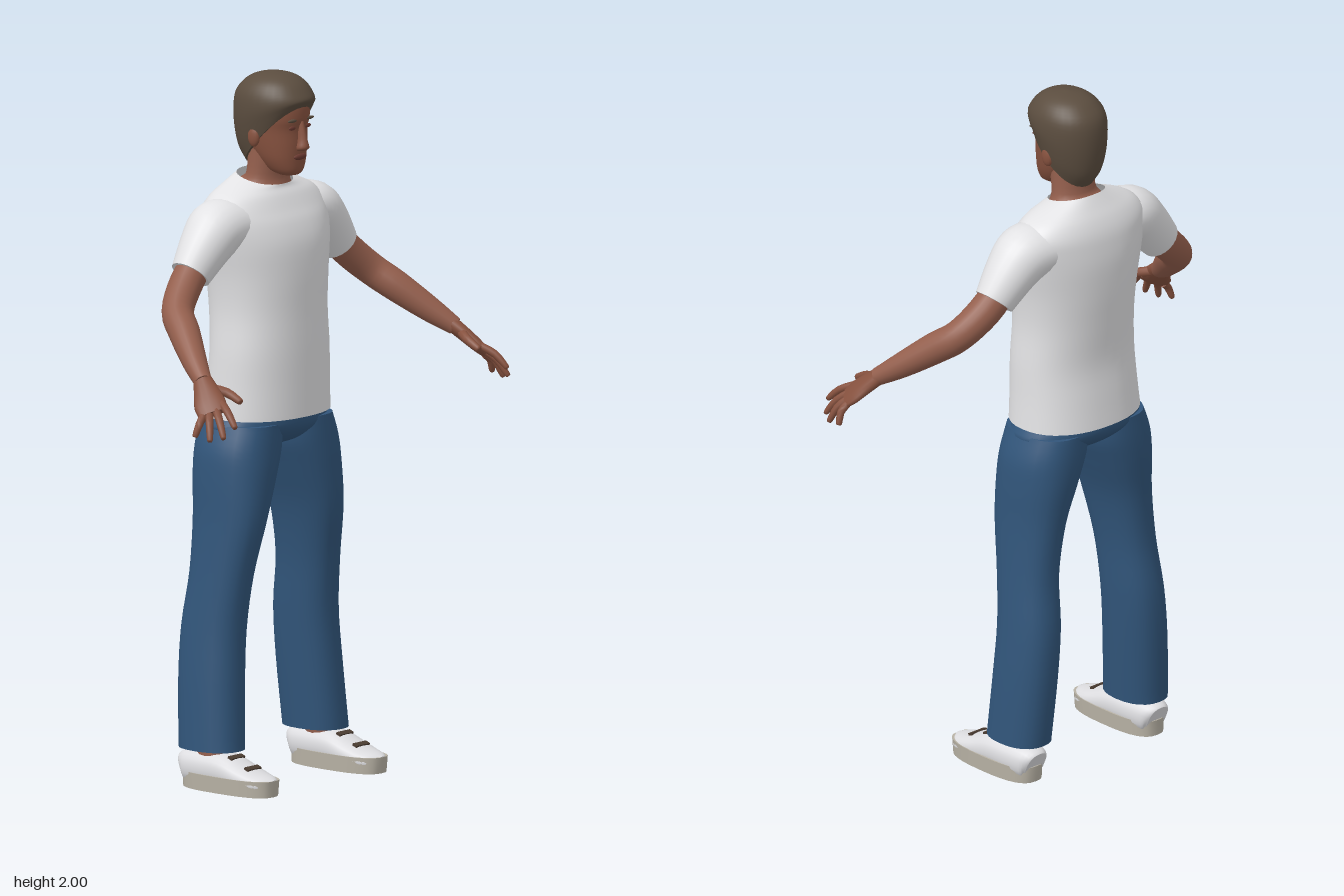
import * as THREE from 'three';

const V = (x, y, z) => new THREE.Vector3(x, y, z);

// Catmull-Rom interpolation of cross-section rows
function smooth(rows, n) {
  const out = [];
  for (let i = 0; i < rows.length - 1; i++) {
    const a = rows[Math.max(i - 1, 0)], b = rows[i], c = rows[i + 1], d = rows[Math.min(i + 2, rows.length - 1)];
    for (let k = 0; k < n; k++) {
      const t = k / n;
      out.push(b.map((v, m) => {
        const k1 = c[m] - a[m];
        const k2 = 2 * a[m] - 5 * v + 4 * c[m] - d[m];
        const k3 = 3 * (v - c[m]) + d[m] - a[m];
        return v + 0.5 * t * (k1 + t * (k2 + t * k3));
      }));
    }
  }
  out.push(rows[rows.length - 1]);
  return out;
}

// Closed skin over a list of rings, with flat end caps
function skin(rings, caps = true) {
  const n = rings[0].length, pos = [], idx = [];
  rings.forEach(r => r.forEach(p => pos.push(p.x, p.y, p.z)));
  for (let i = 0; i < rings.length - 1; i++) {
    for (let j = 0; j < n; j++) {
      const k = (j + 1) % n, a = i * n + j, b = i * n + k, c = a + n, d = b + n;
      idx.push(a, c, b, b, c, d);
    }
  }
  if (caps) {
    [rings[0], rings[rings.length - 1]].forEach((r, end) => {
      const s = pos.length / 3, m = V(0, 0, 0);
      r.forEach(p => { pos.push(p.x, p.y, p.z); m.addScaledVector(p, 1 / n); });
      pos.push(m.x, m.y, m.z);
      for (let j = 0; j < n; j++) {
        const k = (j + 1) % n;
        idx.push(s + n, s + (end ? k : j), s + (end ? j : k));
      }
    });
  }
  const g = new THREE.BufferGeometry();
  g.setAttribute('position', new THREE.Float32BufferAttribute(pos, 3));
  g.setIndex(idx);
  g.computeVertexNormals();
  return g;
}

const bend = (v, p) => Math.sign(v) * Math.abs(v) ** (2 / p);

// Upright form; rows are [y, centre x, half width, front z, back z, tilt]
function column(rows, { p = 2, seg = 28, sub = 4, caps = true } = {}) {
  return skin(smooth(rows, sub).map(([y, cx, rx, zf, zb, tilt]) => Array.from({ length: seg }, (_, j) => {
    const t = j / seg * Math.PI * 2, c = bend(Math.cos(t), p), s = bend(Math.sin(t), p);
    return V(cx + rx * c, y + tilt * s, (zf + zb) / 2 + (zf - zb) / 2 * s);
  })), caps);
}

// Form along a path; rows are [x, y, z, radius along ref, other radius]
function limb(rows, ref, { p = 2, seg = 16, sub = 4 } = {}) {
  const r = smooth(rows, sub), at = i => V(r[i][0], r[i][1], r[i][2]);
  return skin(r.map((row, i) => {
    const T = at(Math.min(i + 1, r.length - 1)).sub(at(Math.max(i - 1, 0))).normalize();
    const U = ref.clone().addScaledVector(T, -ref.dot(T)).normalize(), W = U.clone().cross(T);
    return Array.from({ length: seg }, (_, j) => {
      const t = j / seg * Math.PI * 2;
      return at(i).addScaledVector(U, row[3] * bend(Math.cos(t), p)).addScaledVector(W, row[4] * bend(Math.sin(t), p));
    });
  }));
}

function mirrored(geo) {
  const g = geo.clone().applyMatrix4(new THREE.Matrix4().makeScale(-1, 1, 1)), a = g.index.array;
  for (let i = 0; i < a.length; i += 3) [a[i + 1], a[i + 2]] = [a[i + 2], a[i + 1]];
  return g;
}

export function createModel() {
  const model = new THREE.Group();
  model.name = 'standingMan';
  const mat = (name, color) => Object.assign(new THREE.MeshStandardMaterial({ color }), { name });
  const skinMat = mat('skin', 0x945f4d), faceMat = mat('deepSkin', 0x87523f), lipMat = mat('lips', 0x6b3a31);
  const hairMat = mat('hair', 0x5b4d3f), shirtMat = mat('shirt', 0xe2e2e4), jeansMat = mat('denim', 0x31557a);
  const shoeMat = mat('shoeWhite', 0xdddde0), soleMat = mat('sole', 0xb8b2a5), laceMat = mat('lace', 0x4c3d32);
  shirtMat.side = THREE.DoubleSide;

  const add = (name, geo, m) => {
    const mesh = new THREE.Mesh(geo, m);
    mesh.name = name;
    model.add(mesh);
  };
  const pair = (name, geo, m) => {
    add('left' + name, geo, m);
    add('right' + name, mirrored(geo), m);
  };
  const ball = (x, y, z, a, b, c) => new THREE.SphereGeometry(1, 16, 10).scale(a, b, c).translate(x, y, z);

  // Shirt
  add('shirtBody', column([
    [1.035, 0, 0.198, 0.03, -0.265, 0], [1.12, 0, 0.192, 0.03, -0.255, 0], [1.22, 0, 0.188, 0.03, -0.245, 0],
    [1.33, 0, 0.181, 0.028, -0.252, 0], [1.43, 0, 0.188, 0.028, -0.26, 0], [1.52, 0, 0.204, 0.022, -0.263, 0],
    [1.58, 0, 0.215, 0.004, -0.258, 0], [1.62, 0, 0.214, -0.018, -0.25, 0], [1.655, 0, 0.185, -0.038, -0.235, 0],
    [1.68, 0, 0.135, -0.052, -0.215, -0.006], [1.7, 0, 0.083, -0.055, -0.195, -0.016],
  ], { p: 2.25, seg: 40, caps: false }), shirtMat);
  pair('Sleeve', limb([
    [0.14, 1.585, -0.13, 0.095, 0.07], [0.2, 1.575, -0.128, 0.088, 0.08],
    [0.252, 1.532, -0.127, 0.075, 0.072], [0.313, 1.463, -0.127, 0.056, 0.059],
  ], V(0, 0, 1), { seg: 24 }), shirtMat);

  // Jeans
  add('jeansHips', column([
    [0.945, 0, 0.06, -0.08, -0.17, 0], [0.965, 0, 0.13, -0.03, -0.21, 0], [1, 0, 0.205, 0.002, -0.245, 0],
    [1.04, 0, 0.193, 0.005, -0.248, 0], [1.09, 0, 0.175, 0.005, -0.24, 0],
  ], { p: 2.3, seg: 32 }), jeansMat);
  pair('JeansLeg', column([
    [0.11, 0.22, 0.074, -0.03, -0.228, 0], [0.3, 0.207, 0.075, -0.042, -0.24, 0],
    [0.45, 0.195, 0.073, -0.045, -0.24, 0], [0.6, 0.183, 0.07, -0.028, -0.222, 0],
    [0.75, 0.163, 0.078, 0, -0.225, 0], [0.87, 0.139, 0.098, 0.006, -0.238, 0],
    [0.95, 0.12, 0.109, 0.004, -0.242, 0], [1.02, 0.105, 0.098, 0, -0.24, 0],
  ], { p: 2.3, seg: 24 }), jeansMat);

  // Ankles and shoes
  pair('Ankle', column([
    [0.06, 0.23, 0.042, -0.055, -0.165, 0], [0.16, 0.225, 0.045, -0.06, -0.17, 0],
  ], { seg: 16, sub: 1 }), skinMat);
  pair('ShoeSole', column([
    [0, 0.23, 0.062, 0.106, -0.208, 0], [0.046, 0.23, 0.064, 0.11, -0.21, 0],
  ], { p: 2.7, seg: 32, sub: 1 }), soleMat);
  pair('ShoeUpper', limb([
    [0.23, 0.035, -0.207, 0.035, 0.058], [0.23, 0.035, -0.19, 0.05, 0.068], [0.23, 0.035, -0.13, 0.058, 0.072],
    [0.23, 0.035, -0.06, 0.06, 0.07], [0.23, 0.035, 0, 0.06, 0.047], [0.23, 0.035, 0.05, 0.056, 0.029],
    [0.23, 0.035, 0.085, 0.043, 0.02], [0.23, 0.035, 0.105, 0.018, 0.013],
  ].map(([x, y, z, a, b]) => [x, y + 0.5 * b - 0.015, z, a, 0.5 * b + 0.015]), V(1, 0, 0), { p: 2.3, seg: 24 }), shoeMat);
  for (const [z, y] of [[-0.03, 0.096], [0.03, 0.072]]) {
    pair('ShoeLace', new THREE.BoxGeometry(0.056, 0.008, 0.016).rotateX(0.37).translate(0.23, y, z), laceMat);
  }

  // Arms
  pair('Arm', limb([
    [0.27, 1.51, -0.127, 0.046, 0.048], [0.34, 1.442, -0.12, 0.048, 0.047], [0.41, 1.378, -0.09, 0.045, 0.045],
    [0.45, 1.33, -0.03, 0.044, 0.044], [0.5, 1.267, 0.05, 0.035, 0.036], [0.535, 1.222, 0.112, 0.025, 0.025],
  ], V(0, 0, 1), { seg: 20 }), skinMat);

  // Hands
  const across = V(0.77, -0.53, -0.355), knuckle = V(0.573, 1.158, 0.178);
  pair('Palm', limb([
    [0.528, 1.232, 0.1, 0.025, 0.022], [0.548, 1.2, 0.135, 0.036, 0.02],
    [0.567, 1.17, 0.165, 0.045, 0.017], [0.58, 1.148, 0.188, 0.041, 0.012],
  ], across), faceMat);
  const finger = (name, a, b, c, r) => pair(name, limb([
    [...a, r, r], [...b, r * 0.95, r * 0.95], [...c, r * 0.7, r * 0.7],
    [...c.map((v, i) => v + (c[i] - b[i]) * 0.1), r * 0.2, r * 0.2],
  ], across, { seg: 10, sub: 3 }), faceMat);
  [['IndexFinger', 0.577, 1.12, 0.264], ['MiddleFinger', 0.603, 1.092, 0.245],
    ['RingFinger', 0.622, 1.083, 0.212], ['LittleFinger', 0.63, 1.09, 0.165]].forEach(([name, ...tip], i) => {
    const base = knuckle.clone().addScaledVector(across, (i - 1.5) * 0.022);
    const mid = base.clone().lerp(V(...tip), 0.5).add(V(0.004, 0.006, 0.004));
    finger(name, base.toArray(), mid.toArray(), tip, 0.0115);
  });
  finger('Thumb', [0.535, 1.208, 0.135], [0.51, 1.197, 0.178], [0.506, 1.177, 0.222], 0.014);

  // Neck and head
  add('neck', column([
    [1.655, 0, 0.1, -0.045, -0.205, -0.01], [1.685, 0, 0.08, -0.055, -0.188, -0.01],
    [1.715, 0, 0.067, -0.06, -0.167, 0], [1.8, 0, 0.064, -0.04, -0.165, 0],
  ], { seg: 24 }), skinMat);
  add('head', column([
    [1.715, 0, 0.028, -0.008, -0.06, 0], [1.728, 0, 0.046, 0.002, -0.095, 0], [1.76, 0, 0.063, 0.006, -0.13, 0],
    [1.8, 0, 0.073, 0.008, -0.165, 0], [1.845, 0, 0.079, 0.008, -0.185, 0], [1.88, 0, 0.082, 0.016, -0.19, 0],
    [1.93, 0, 0.08, 0.01, -0.19, 0], [1.97, 0, 0.05, -0.03, -0.15, 0],
  ], { p: 2.15 }), faceMat);
  add('nose', column([
    [1.786, 0, 0.012, 0.02, -0.01, 0], [1.795, 0, 0.018, 0.034, -0.01, 0],
    [1.82, 0, 0.012, 0.029, -0.01, 0], [1.87, 0, 0.008, 0.016, -0.01, 0],
  ], { seg: 12 }), faceMat);
  add('mouth', ball(0, 1.768, 0.005, 0.026, 0.009, 0.007), lipMat);
  pair('Ear', ball(0.081, 1.825, -0.095, 0.012, 0.03, 0.02), faceMat);
  pair('Eye', ball(0.032, 1.852, 0.004, 0.014, 0.006, 0.004), lipMat);
  pair('Eyebrow', ball(0.034, 1.874, 0.008, 0.021, 0.005, 0.005), hairMat);

  // Hair, lower at the nape than at the fringe
  add('hair', column([
    [1.822, 0, 0.081, 0.016, -0.17, 0.088], [1.85, 0, 0.09, 0.026, -0.198, 0.07],
    [1.895, 0, 0.098, 0.032, -0.211, 0.035], [1.94, 0, 0.094, 0.024, -0.206, 0.006],
    [1.974, 0, 0.074, 0, -0.175, 0], [1.993, 0, 0.043, -0.035, -0.138, 0], [2, 0, 0.006, -0.08, -0.092, 0],
  ], { p: 2.1, seg: 32 }), hairMat);

  return model;
}
